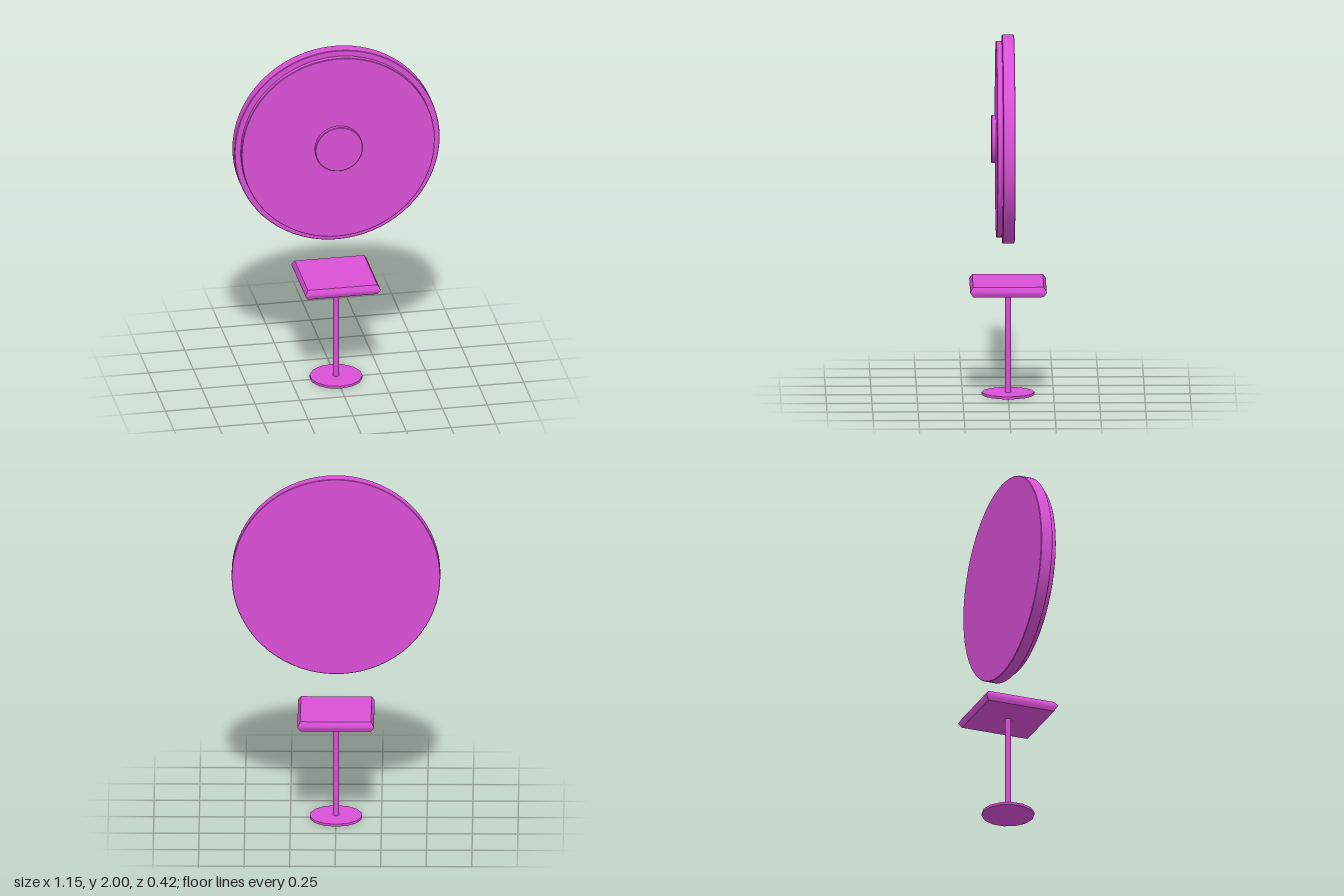
import * as THREE from 'three';
import { toCreasedNormals } from 'three/addons/utils/BufferGeometryUtils.js';

// Solid of revolution with a chamfered rim, standing on y = 0
function chamferedDisc(radius, height, chamfer, sides, topInset = chamfer) {
  const profile = [
    [0, 0], [radius - topInset, 0], [radius, chamfer],
    [radius, height - chamfer], [radius - topInset, height], [0, height],
  ].map(([x, y]) => new THREE.Vector2(x, y));
  return toCreasedNormals(new THREE.LatheGeometry(profile, sides), 0.6);
}

export function createModel() {
  const model = new THREE.Group();
  model.name = 'discAndTable';
  const magenta = new THREE.MeshStandardMaterial({ color: 0xd950d6 });
  magenta.name = 'magenta';

  const add = (parent, name, geometry, x, y, z) => {
    const mesh = new THREE.Mesh(geometry, magenta);
    mesh.name = name;
    mesh.position.set(x, y, z);
    parent.add(mesh);
    return mesh;
  };

  // Upright stepped disc: rim, face plate and centre hub
  const disc = new THREE.Group();
  disc.name = 'steppedDisc';
  disc.position.y = 1.427;
  model.add(disc);
  const layers = [
    ['rimDisc', 0.573, -0.034, 0.033],
    ['facePlate', 0.54, 0.032, 0.066],
    ['centreHub', 0.132, 0.065, 0.092],
  ];
  for (const [name, radius, back, front] of layers) {
    add(disc, name, chamferedDisc(radius, front - back, 0.003, 72), 0, 0, back)
      .rotation.x = Math.PI / 2;
  }

  // Small pedestal table below
  const table = new THREE.Group();
  table.name = 'pedestalTable';
  model.add(table);
  add(table, 'tableBase', toCreasedNormals(new THREE.CylinderGeometry(0.145, 0.145, 0.014, 14), 0.6), 0, 0.007, 0);
  add(table, 'tablePole', new THREE.CylinderGeometry(0.016, 0.016, 0.572, 20), 0, 0.297, 0);

  // Square top with sloped edges meeting at mid height
  const top = chamferedDisc(0.21 * Math.SQRT2, 0.056, 0.026, 4, 0.016 * Math.SQRT2);
  add(table, 'tableTop', top, 0, 0.58, 0).rotation.y = Math.PI / 4;

  return model;
}
